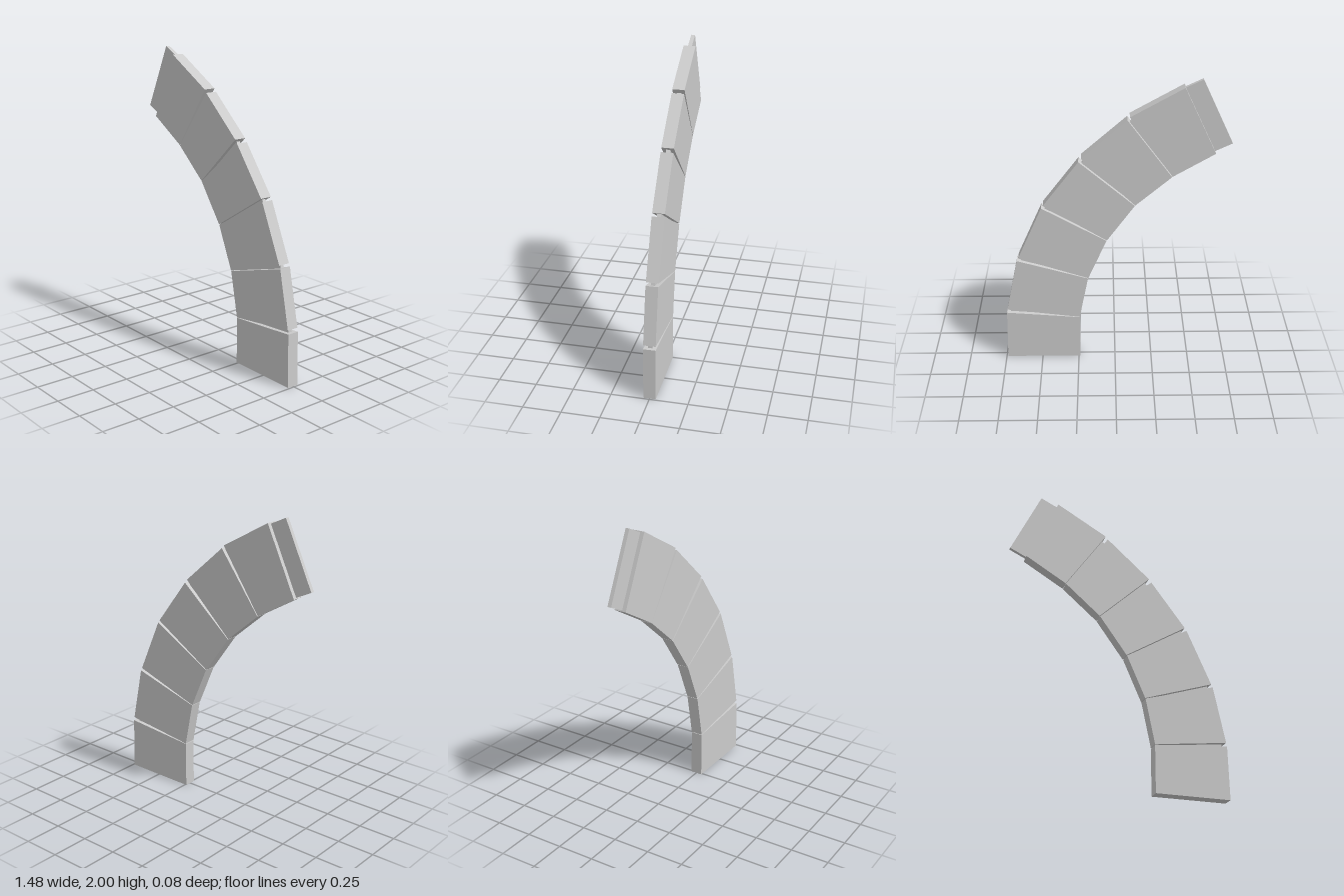
import * as THREE from 'three';

const BLOCK_DEPTH = 0.08;
const TENON_DEPTH = 0.026;
const TENON_LENGTH = 0.12;

// Corners of each block: inner bottom, outer bottom, outer top, inner top
const BLOCKS = [
  [[0.24, 0], [0.74, 0], [0.733, 0.355], [0.24, 0.315]],
  [[0.24, 0.318], [0.728, 0.38], [0.65, 0.757], [0.18, 0.62]],
  [[0.178, 0.623], [0.64, 0.777], [0.477, 1.145], [0.056, 0.905]],
  [[0.053, 0.908], [0.465, 1.163], [0.232, 1.47], [-0.128, 1.16]],
  [[-0.131, 1.163], [0.215, 1.493], [-0.077, 1.75], [-0.363, 1.362]],
  [[-0.366, 1.365], [-0.092, 1.77], [-0.43, 1.96], [-0.635, 1.523]],
];

const material = new THREE.MeshStandardMaterial({ color: 0xcccccc, flatShading: true });

// Flat plate with the given outline, centred on z = 0
function plate(name, points, depth) {
  const geometry = new THREE.ExtrudeGeometry(new THREE.Shape(points), { depth, bevelEnabled: false });
  geometry.translate(0, 0, -depth / 2);
  const mesh = new THREE.Mesh(geometry, material);
  mesh.name = name;
  return mesh;
}

// Thin tongue standing square on a block's upper edge
function tenon(inner, outer, inset) {
  const along = outer.clone().sub(inner).normalize();
  const out = new THREE.Vector2(-along.y, along.x);
  const a = inner.clone().addScaledVector(along, 0.008);
  const b = outer.clone().addScaledVector(along, -inset);
  const at = (p, d) => p.clone().addScaledVector(out, d);
  return plate('tenon', [at(a, -0.01), at(b, -0.01), at(b, TENON_LENGTH), at(a, TENON_LENGTH)], TENON_DEPTH);
}

export function createModel() {
  const arch = new THREE.Group();
  arch.name = 'segmentedArch';
  BLOCKS.forEach((corners, i) => {
    const points = corners.map(([x, y]) => new THREE.Vector2(x, y));
    const segment = new THREE.Group();
    segment.name = `segment${i + 1}`;
    segment.add(plate('block', points, BLOCK_DEPTH));
    // The last tenon is exposed; the others bridge the wedge gaps
    segment.add(tenon(points[3], points[2], i === BLOCKS.length - 1 ? 0.008 : 0.026));
    arch.add(segment);
  });
  return arch;
}
